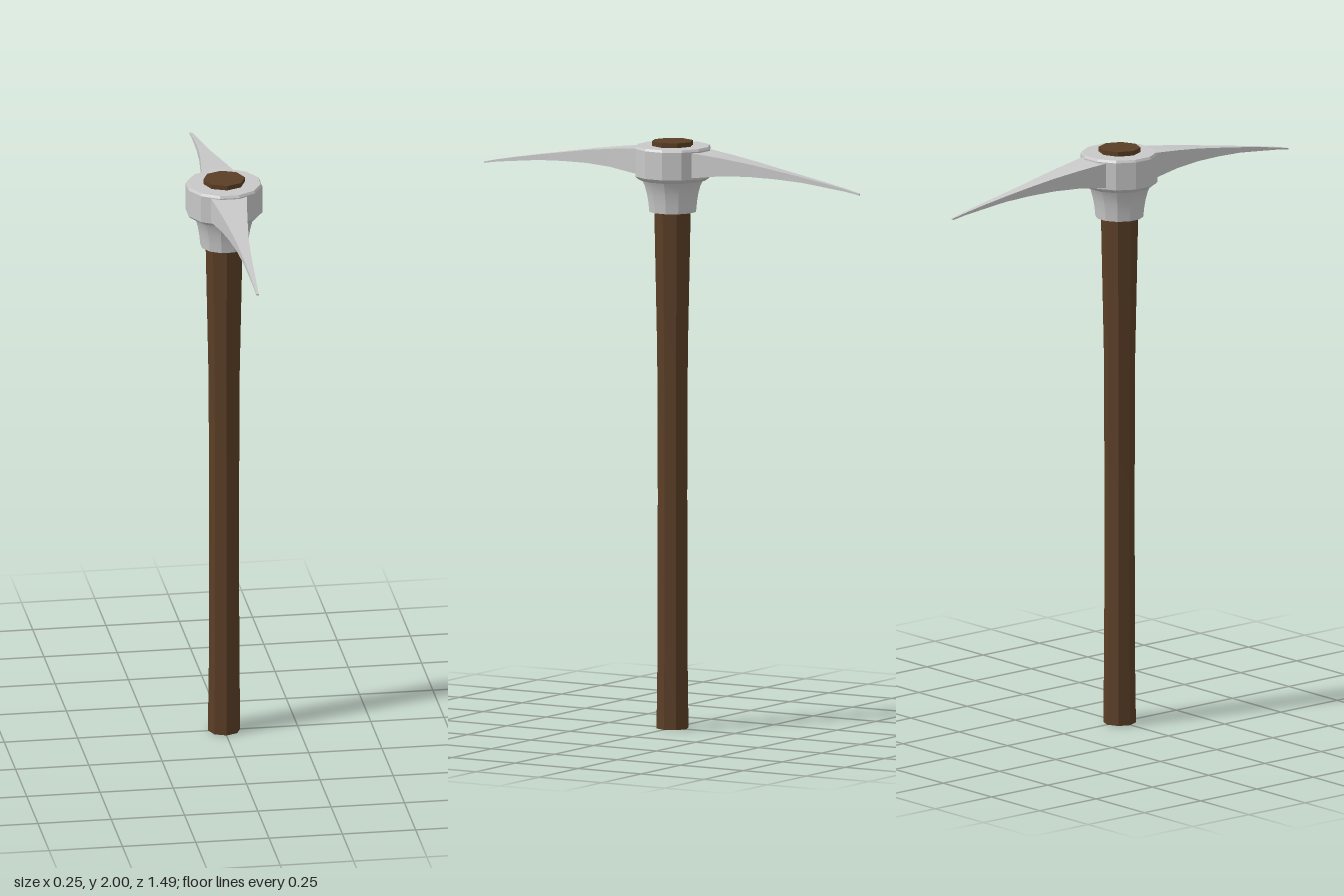
import * as THREE from 'three';
import { toCreasedNormals } from 'three/addons/utils/BufferGeometryUtils.js';

const CREASE = 0.3;

// Faceted turned solid from [radius, y] pairs listed bottom to top
function turned(profile, sides, phiStart) {
  const points = profile.map(([r, y]) => new THREE.Vector2(r, y));
  return toCreasedNormals(new THREE.LatheGeometry(points, sides, phiStart), CREASE);
}

// Blade stations: z, half width, bottom y, top y
const STATIONS = [
  [0.05, 0.068, 1.882, 1.976],
  [0.12, 0.059, 1.888, 1.972],
  [0.22, 0.045, 1.900, 1.961],
  [0.32, 0.032, 1.904, 1.948],
  [0.42, 0.021, 1.902, 1.932],
  [0.52, 0.014, 1.897, 1.916],
  [0.62, 0.009, 1.886, 1.899],
  [0.69, 0.006, 1.878, 1.886],
  [0.745, 0.004, 1.869, 1.874],
];

// Curved four-sided blade: a segmented box reshaped by the stations
function bladeGeometry() {
  const n = STATIONS.length - 1;
  const geometry = new THREE.BoxGeometry(1, 1, 1, 1, 1, n);
  const p = geometry.attributes.position;
  for (let i = 0; i < p.count; i++) {
    const [z, w, low, high] = STATIONS[Math.round((p.getZ(i) + 0.5) * n)];
    p.setXYZ(i, Math.sign(p.getX(i)) * w, p.getY(i) > 0 ? high : low, z);
  }
  return toCreasedNormals(geometry, CREASE);
}

export function createModel() {
  const wood = new THREE.MeshStandardMaterial({ color: 0x5a3e26 });
  wood.name = 'dark wood';
  const steel = new THREE.MeshStandardMaterial({ color: 0xc8c8c8 });
  steel.name = 'steel';

  const model = new THREE.Group();
  model.name = 'pickaxe';
  const add = (name, geometry, material, z = 0) => {
    const mesh = new THREE.Mesh(geometry, material);
    mesh.name = name;
    mesh.position.z = z;
    model.add(mesh);
    return mesh;
  };

  // Octagonal handle, flaring into the head
  add('handle', turned([
    [0, 0], [0.055, 0], [0.055, 0.03], [0.052, 0.25], [0.051, 0.8],
    [0.053, 1.28], [0.063, 1.76], [0.071, 2], [0, 2],
  ], 8, 0), wood, -0.002);

  // Twelve-sided collar with small bevels
  add('collar', turned([
    [0, 1.868], [0.112, 1.868], [0.124, 1.876], [0.13, 1.882],
    [0.13, 1.976], [0.125, 1.984], [0, 1.984],
  ], 12, Math.PI / 12), steel, -0.004);

  // Concave socket under the collar
  add('socket', turned([
    [0, 1.76], [0.081, 1.76], [0.084, 1.79], [0.089, 1.82],
    [0.097, 1.85], [0.108, 1.872], [0, 1.872],
  ], 12, Math.PI / 12), steel, -0.003);

  // Matching blades front and back
  const blade = bladeGeometry();
  add('frontBlade', blade, steel);
  add('backBlade', blade, steel).rotation.y = Math.PI;

  return model;
}
